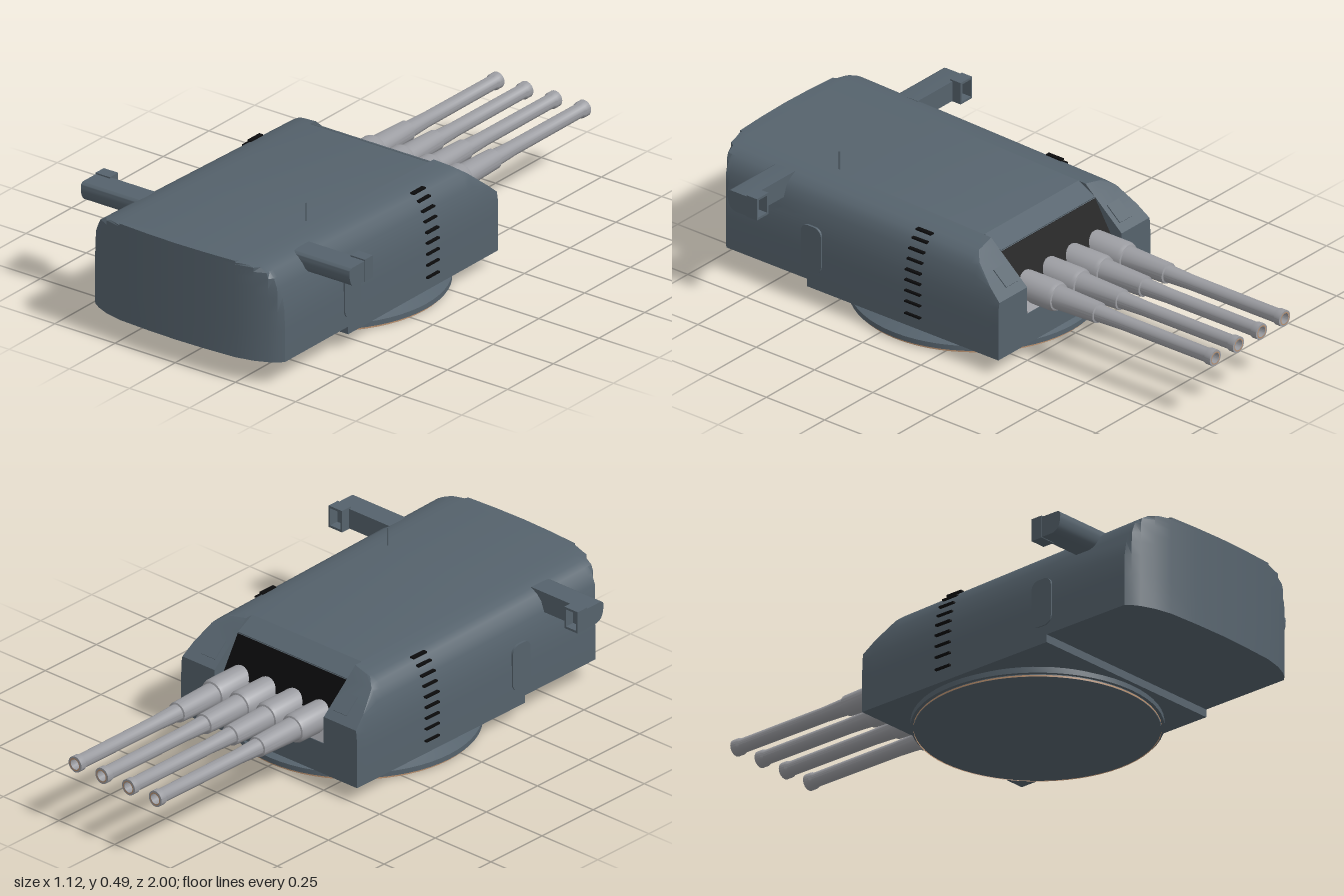
import * as THREE from 'three';
import { toCreasedNormals } from 'three/addons/utils/BufferGeometryUtils.js';

const material = (name, color, side = THREE.FrontSide) => {
  const m = new THREE.MeshStandardMaterial({ color, side });
  m.name = name;
  return m;
};

const lerp = THREE.MathUtils.lerp;
const FRONT = -0.245, SLOPE = -0.09, FLOOR = 0.057;

// Height of the sloping roof, the slanted front and the gun-port floor along z
const roofAt = z => 0.437 - 0.03 * (1 - z);
const capAt = z => z >= SLOPE ? 1 : lerp(0.27, 0.404, (z - FRONT) / (SLOPE - FRONT));
const portAt = z => {
  if (z >= -0.06) return roofAt(z);
  if (z >= -0.13) return lerp(0.365, roofAt(-0.06), (z + 0.13) / 0.07);
  return lerp(0.17, 0.365, (z - FRONT) / (-0.13 - FRONT));
};

// Outer half of the rounded hull cross-section
const SIDE = [[0.395, 0.2], [0.393, 0.27], [0.385, 0.32], [0.376, 0.355], [0.363, 0.39],
  [0.345, 0.41], [0.32, 0.425], [0.285, 0.431], [0.245, 0.437]];

function hullSection(z, bottom, maxX = 1) {
  const scale = (roofAt(z) - FLOOR) / (0.437 - FLOOR), cap = capAt(z);
  const pts = [[0, bottom], [0.395, bottom]];
  for (const [x, y0] of SIDE) {
    const y = FLOOR + (y0 - FLOOR) * scale;
    const [px, py] = pts[pts.length - 1];
    if (y <= cap) pts.push([x, y]);
    else pts.push(py >= cap ? [px, cap] : [lerp(px, x, (cap - py) / (y - py)), cap]);
  }
  pts.push([0.245, Math.min(roofAt(z), cap)], [0.245, portAt(z)], [0, portAt(z)]);
  return pts.map(([x, y]) => new THREE.Vector3(Math.min(x, maxX), y, z));
}

function hullGeometry() {
  const sections = [FRONT, -0.2, -0.13, -0.1, SLOPE, -0.06, 0.575].map(z => hullSection(z, FLOOR));
  // Front face closes down to the floor, rear closes to the centre line
  sections.unshift(sections[0].map(p => new THREE.Vector3(p.x, FLOOR, p.z)));
  const rear = [[0.575, 1], [0.92, 1], [0.938, 0.378], [0.955, 0.352], [0.975, 0.305],
    [0.99, 0.24], [0.997, 0.12], [1, 0]];
  rear.forEach(([z, w]) => sections.push(hullSection(z, 0.085, w)));

  const out = [];
  const triangle = (a, b, c) => {
    const n = b.clone().sub(a).cross(c.clone().sub(a));
    if (n.length() < 1e-9) return;
    for (const p of [a, b, c]) out.push(p.x, p.y, p.z);
    for (const p of [a, c, b]) out.push(-p.x, p.y, p.z);
  };
  for (let s = 0; s < sections.length - 1; s++) {
    const p = sections[s], q = sections[s + 1];
    for (let i = 0; i < p.length - 1; i++) {
      triangle(p[i], p[i + 1], q[i]);
      triangle(p[i + 1], q[i + 1], q[i]);
    }
  }
  const g = new THREE.BufferGeometry();
  g.setAttribute('position', new THREE.Float32BufferAttribute(out, 3));
  return toCreasedNormals(g, 0.5);
}

const lathe = (profile, segments) =>
  toCreasedNormals(new THREE.LatheGeometry(profile.map(p => new THREE.Vector2(...p)), segments), 0.5);

export function createModel() {
  const steel = material('hull grey', 0x55626c);
  const gunMetal = material('gun grey', 0x9b9ca1);
  const black = material('black', 0x0b0b0c);
  const tan = material('tan', 0xb8906f, THREE.DoubleSide);
  const model = new THREE.Group();
  model.name = 'gunTurret';

  const add = (name, geometry, mat, x = 0, y = 0, z = 0, parent = model) => {
    const mesh = new THREE.Mesh(geometry, mat);
    mesh.name = name;
    mesh.position.set(x, y, z);
    parent.add(mesh);
    return mesh;
  };
  // Thin plate lying on a slope between two (z, y) points
  const slopePlate = (name, mat, x, width, [z0, y0], [z1, y1]) => {
    const length = Math.hypot(z1 - z0, y1 - y0);
    const plate = add(name, new THREE.BoxGeometry(width, 0.006, length), mat, x, (y0 + y1) / 2, (z0 + z1) / 2);
    plate.rotation.x = Math.atan2(y0 - y1, z1 - z0);
  };

  add('hull', hullGeometry(), steel);

  // Turning ring under the hull
  add('baseRing', lathe([[0, 0.001], [0.408, 0.001], [0.408, 0.01], [0.42, 0.01], [0.42, 0.028],
    [0.41, 0.032], [0.365, 0.052], [0.365, 0.062]], 64), steel, 0, 0, 0.18);
  add('baseTrim', new THREE.CylinderGeometry(0.411, 0.411, 0.006, 64, 1, true), tan, 0, 0.003, 0.18);

  // Gun port
  slopePlate('portHood', steel, 0, 0.488, [-0.13, 0.367], [-0.06, 0.404]);
  slopePlate('portShade', black, 0, 0.486, [-0.2, 0.248], [-0.131, 0.364]);
  slopePlate('portSill', gunMetal, 0, 0.486, [-0.244, 0.172], [-0.2, 0.248]);

  // Four stepped barrels pointing along -z
  const barrelShape = lathe([[0, 0.12], [0.052, 0.12], [0.052, 0.315], [0.047, 0.328], [0.041, 0.33],
    [0.036, 0.5], [0.03, 0.502], [0.026, 0.6], [0.025, 0.965], [0.029, 0.975], [0.029, 0.998],
    [0.019, 0.998], [0.019, 0.95], [0, 0.95]], 24);
  for (const x of [-0.18, -0.06, 0.06, 0.18]) {
    const gun = new THREE.Group();
    gun.name = 'gun';
    gun.position.set(x, 0.234, 0);
    gun.rotation.x = -Math.PI / 2;
    model.add(gun);
    add('barrel', barrelShape, gunMetal, 0, 0, 0, gun);
    const ring = add('muzzleRing', new THREE.RingGeometry(0.019, 0.023, 24), tan, 0, 0.9995, 0, gun);
    ring.rotation.x = -Math.PI / 2;
  }

  // Rangefinder arm profile: round at the rear, square at the front
  const armShape = new THREE.Shape();
  armShape.moveTo(-0.69, 0.345);
  armShape.lineTo(-0.69, 0.418);
  armShape.lineTo(-0.765, 0.418);
  armShape.quadraticCurveTo(-0.782, 0.418, -0.782, 0.4);
  armShape.quadraticCurveTo(-0.782, 0.345, -0.74, 0.345);
  const armGeometry = length => toCreasedNormals(new THREE.ExtrudeGeometry(armShape,
    { depth: length, bevelEnabled: false, curveSegments: 8 }).rotateY(Math.PI / 2), 0.5);
  const longArm = armGeometry(0.24);

  // Hollow eyepiece hood at each arm tip
  const hoodShape = new THREE.Shape([[-0.03, -0.04], [0.03, -0.04], [0.03, 0.04], [-0.03, 0.04]]
    .map(p => new THREE.Vector2(...p)));
  hoodShape.holes.push(new THREE.Path([[-0.023, -0.032], [-0.023, 0.032], [0.023, 0.032], [0.023, -0.032]]
    .map(p => new THREE.Vector2(...p))));
  const hood = new THREE.ExtrudeGeometry(hoodShape, { depth: 0.045, bevelEnabled: false });

  // Rounded side door
  const doorShape = new THREE.Shape();
  const dw = 0.043, dh = 0.085, r = 0.03;
  doorShape.absarc(dw - r, dh - r, r, 0, Math.PI / 2);
  doorShape.absarc(-dw + r, dh - r, r, Math.PI / 2, Math.PI);
  doorShape.absarc(-dw + r, -dh + r, r, Math.PI, Math.PI * 1.5);
  doorShape.absarc(dw - r, -dh + r, r, Math.PI * 1.5, Math.PI * 2);
  const door = new THREE.ExtrudeGeometry(doorShape, { depth: 0.008, bevelEnabled: false, curveSegments: 6 })
    .translate(0, 0, -0.004).rotateY(Math.PI / 2);

  const rung = new THREE.BoxGeometry(0.016, 0.006, 0.065);
  const rungs = [[0.397, 0.105], [0.397, 0.15], [0.397, 0.19], [0.397, 0.23], [0.395, 0.268],
    [0.386, 0.305], [0.377, 0.34], [0.36, 0.372], [0.338, 0.395]];

  for (const side of [1, -1]) {
    add('rangefinderArm', longArm, steel, side > 0 ? 0.318 : -0.558, 0, 0);
    add('rangefinderHood', hood, steel, side * 0.529, 0.383, 0.655);
    add('sideDoor', door, steel, side * 0.396, 0.205, 0.555);
    slopePlate('frontHatch', steel, side * 0.295, 0.06, [-0.22, 0.2925], [-0.165, 0.34]);
    for (const [x, y] of rungs) add('ladderRung', rung, black, side * x, y, 0.118);
  }

  // Roof aerial
  add('aerial', new THREE.CylinderGeometry(0.003, 0.003, 0.075, 8), steel, 0.223, 0.4535, 0.578);

  return model;
}
